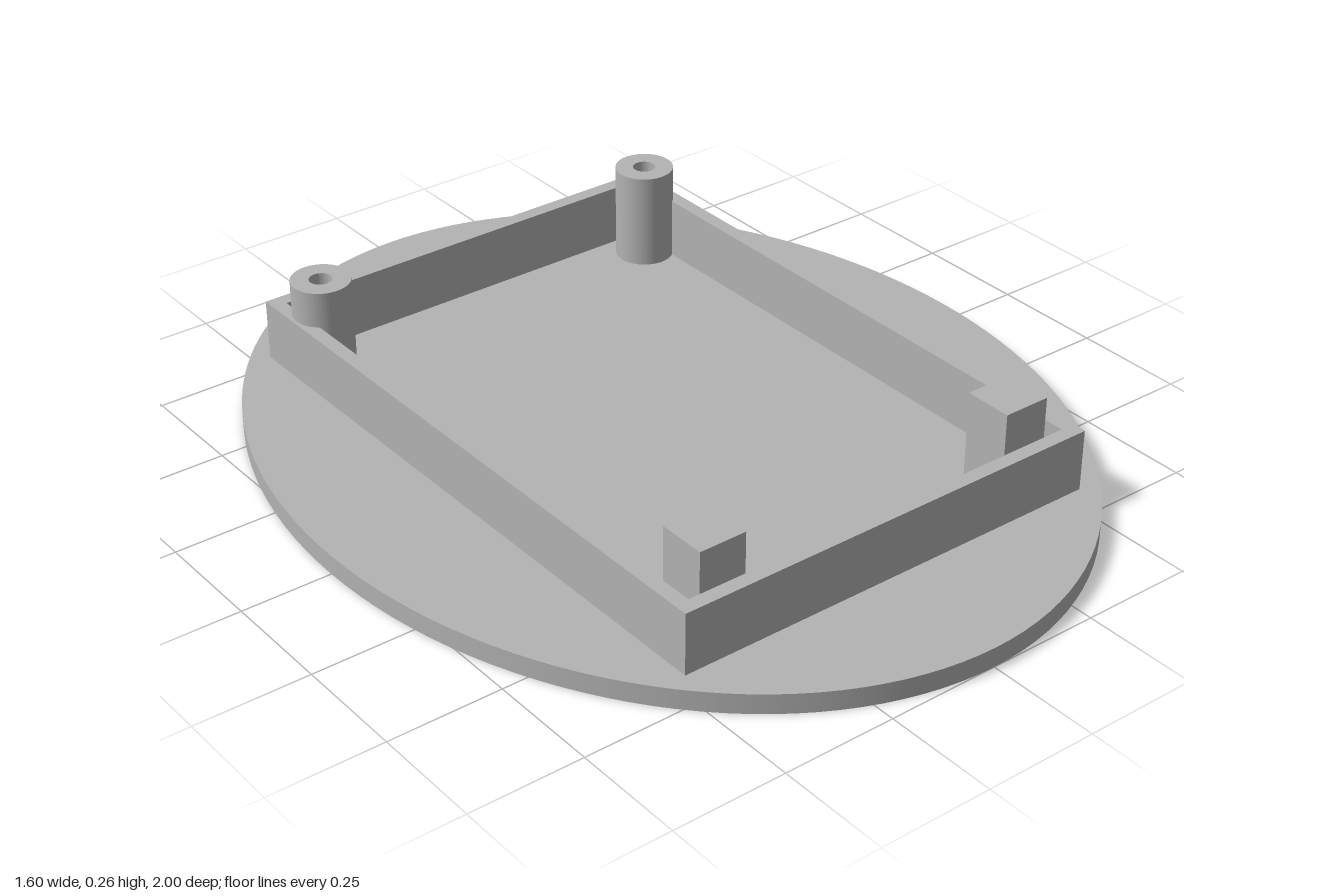
import * as THREE from 'three';

const BASE_TOP = 0.044, WALL_TOP = 0.18, POST_TOP = 0.26;

function rectangle(PathType, hx, hz) {
  const p = new PathType();
  p.moveTo(-hx, -hz);
  p.lineTo(hx, -hz);
  p.lineTo(hx, hz);
  p.lineTo(-hx, hz);
  p.closePath();
  return p;
}

// Upright extrusion of a plan shape between two heights
function extrudeUp(shape, y0, y1, curveSegments = 12) {
  const geo = new THREE.ExtrudeGeometry(shape, { depth: y1 - y0, bevelEnabled: false, curveSegments });
  geo.rotateX(-Math.PI / 2);
  geo.translate(0, y0, 0);
  return geo;
}

export function createModel() {
  const group = new THREE.Group();
  const grey = new THREE.MeshStandardMaterial({ color: 0xb3b3b3 });
  grey.name = 'plain grey';

  const add = (name, geo, x = 0, y = 0, z = 0) => {
    const mesh = new THREE.Mesh(geo, grey);
    mesh.name = name;
    mesh.position.set(x, y, z);
    group.add(mesh);
  };

  // Oval base plate
  const plate = new THREE.CylinderGeometry(1, 1, BASE_TOP, 128);
  plate.scale(0.8, 1, 1);
  add('basePlate', plate, 0, BASE_TOP / 2, 0);

  // Thin rectangular wall standing on the plate
  const wall = rectangle(THREE.Shape, 0.5, 0.718);
  wall.holes.push(rectangle(THREE.Path, 0.468, 0.686));
  add('rimWall', extrudeUp(wall, BASE_TOP, WALL_TOP));

  // Round screw post with a bore down to the plate
  const ring = new THREE.Shape().absarc(0, 0, 0.065, 0, Math.PI * 2, false);
  ring.holes.push(new THREE.Path().absarc(0, 0, 0.025, 0, Math.PI * 2, true));
  const screwPost = extrudeUp(ring, BASE_TOP, POST_TOP, 40);

  // Square support post
  const height = POST_TOP - BASE_TOP;
  const squarePost = new THREE.BoxGeometry(0.107, height, 0.107);

  for (const [side, s] of [['left', 1], ['right', -1]]) {
    add(side + 'ScrewPost', screwPost, s * 0.428, 0, -0.605);
    add(side + 'SquarePost', squarePost, s * 0.379, BASE_TOP + height / 2, 0.62);
  }
  return group;
}
